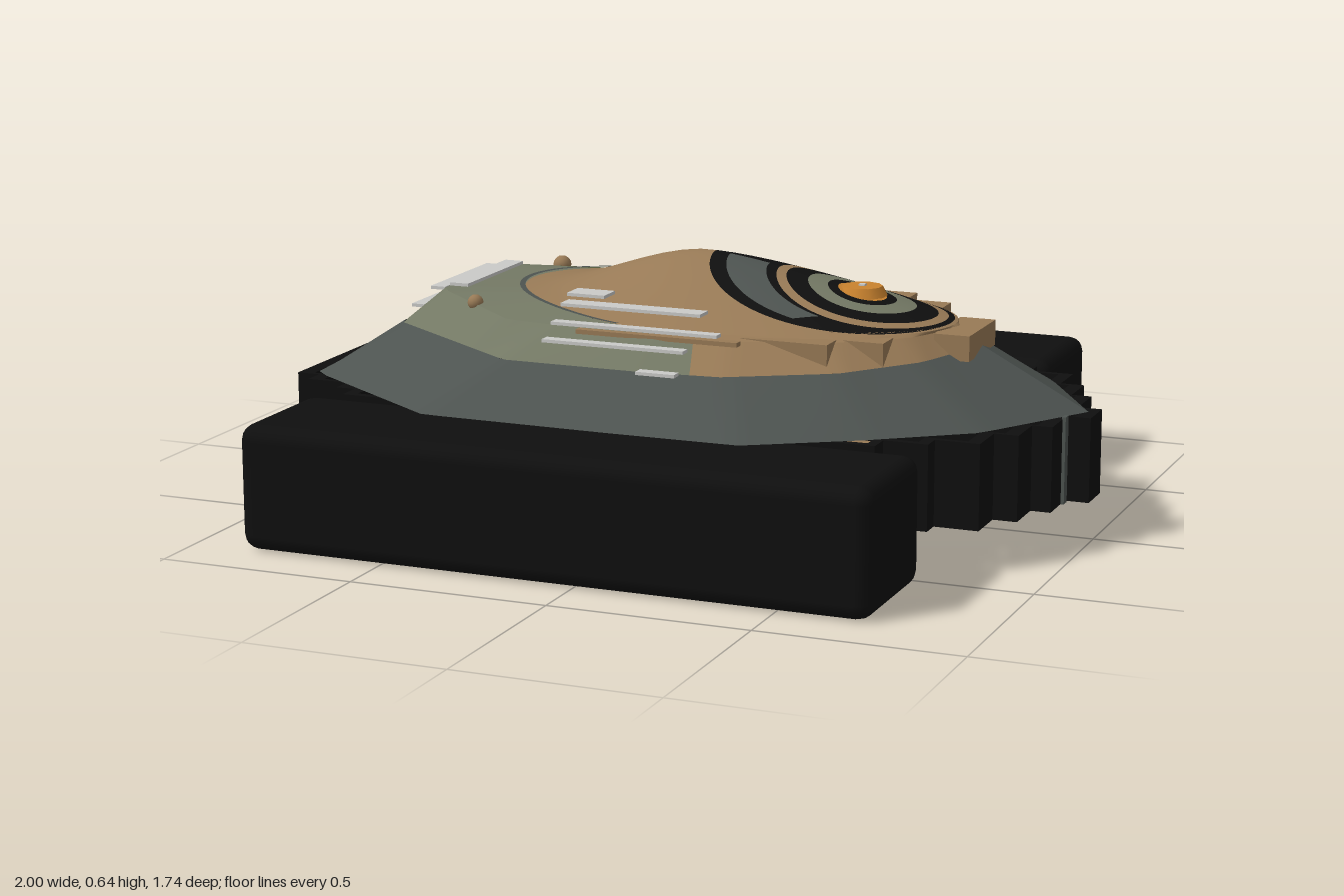
import * as THREE from 'three';
import { RoundedBoxGeometry } from 'three/addons/geometries/RoundedBoxGeometry.js';

const mat = (name, color) => {
  const m = new THREE.MeshStandardMaterial({ color, side: THREE.DoubleSide });
  m.name = name;
  return m;
};

const TAU = Math.PI * 2;

// Ring from half-outline points [x, y, z] (rear centre to front centre), sampled by ray angle.
const outlineRing = (pts) => (a) => {
  const c = Math.cos(a), s = Math.sin(a), az = Math.abs(s);
  for (let i = 0; i < pts.length - 1; i++) {
    const [x0, y0, z0] = pts[i], [x1, y1, z1] = pts[i + 1];
    const d0 = x0 * az - z0 * c, d1 = x1 * az - z1 * c;
    if (d0 <= 1e-9 && d1 >= -1e-9) {
      const t = d1 - d0 < 1e-9 ? 0 : THREE.MathUtils.clamp(-d0 / (d1 - d0), 0, 1);
      const z = z0 + (z1 - z0) * t;
      return new THREE.Vector3(x0 + (x1 - x0) * t, y0 + (y1 - y0) * t, s < 0 ? -z : z);
    }
  }
  const e = pts[pts.length - 1];
  return new THREE.Vector3(e[0], e[1], e[2]);
};

// Height of the turret dome, apex over the origin.
function domeHeight(x, z) {
  const t = Math.min(1, Math.hypot(x / (x < 0 ? 0.49 : 0.64), z / 0.335));
  const r = Math.hypot(x, z) || 1;
  const back = Math.max(0, -x / r) ** 2;
  const edge = 0.507 + 0.033 * back;
  const f = (1 - t ** 1.3) * (1 - back) + (0.5 + 0.5 * Math.cos(Math.PI * t)) * back;
  return edge + (0.645 - edge) * f;
}
const onDome = (x, z) => new THREE.Vector3(x, domeHeight(x, z), z);
const domeEdge = (a) => {
  const c = Math.cos(a), s = Math.sin(a);
  const r = 1 / Math.hypot(c / (c < 0 ? 0.49 : 0.64), s / 0.335);
  return onDome(c * r, s * r);
};
const ellipse = (cx, rx, rz) => (a) => onDome(cx + rx * Math.cos(a), rz * Math.sin(a));
const between = (ra, rb, t, lift) => (a) => {
  const p = ra(a).lerp(rb(a), t);
  return onDome(p.x, p.z).add(new THREE.Vector3(0, lift, 0));
};

// Surface strip between two rings; conform drapes it over the dome.
function loft(ra, rb, { a0 = 0, a1 = TAU, steps = 1, conform = false, lift = 0 } = {}) {
  const n = Math.max(8, Math.ceil(((a1 - a0) / TAU) * 120));
  const pos = [], idx = [];
  for (let j = 0; j <= steps; j++) {
    for (let i = 0; i <= n; i++) {
      const a = a0 + ((a1 - a0) * i) / n;
      const p = ra(a).lerp(rb(a), j / steps);
      pos.push(p.x, (conform ? domeHeight(p.x, p.z) : p.y) + lift, p.z);
      if (i < n && j < steps) {
        const k = j * (n + 1) + i, m = k + n + 1;
        idx.push(k, m, k + 1, k + 1, m, m + 1);
      }
    }
  }
  const g = new THREE.BufferGeometry();
  g.setAttribute('position', new THREE.Float32BufferAttribute(pos, 3));
  g.setIndex(idx);
  g.computeVertexNormals();
  return g;
}

export function createModel() {
  const black = mat('black', 0x0f0f0f), slate = mat('slate', 0x4d5350);
  const sage = mat('sage', 0x737864), olive = mat('olive', 0x575d3f);
  const brown = mat('brown', 0x987a56), orange = mat('orange', 0xc9822e);
  const pale = mat('paleGrey', 0xcacac8);

  const root = new THREE.Group();
  root.name = 'armouredVehicle';
  const add = (name, geo, m, x = 0, y = 0, z = 0) => {
    const mesh = new THREE.Mesh(geo, m);
    mesh.name = name;
    mesh.position.set(x, y, z);
    root.add(mesh);
    return mesh;
  };
  // Box given by its extents
  const block = (name, m, x0, x1, y0, y1, z0, z1) =>
    add(name, new THREE.BoxGeometry(x1 - x0, y1 - y0, z1 - z0), m,
      (x0 + x1) / 2, (y0 + y1) / 2, (z0 + z1) / 2);

  // Track pods
  for (const s of [1, -1]) {
    add('trackPod', new RoundedBoxGeometry(1.6, 0.31, 0.36, 2, 0.04), black, -0.07, 0.157, s * 0.69);
  }

  // Stepped skirt, open underneath
  const steps = [[-1, 0.33], [-0.94, 0.33], [-0.94, 0.385], [-0.83, 0.385], [-0.83, 0.44],
    [-0.78, 0.44], [-0.78, 0.5], [0.61, 0.5], [0.61, 0.44], [0.72, 0.44], [0.72, 0.39],
    [0.83, 0.39], [0.83, 0.33], [0.83, 0.28], [0.89, 0.28], [0.89, 0.17], [0.94, 0.17],
    [0.94, 0.05], [1, 0.05]];
  const plan = [...steps, ...steps.map(([x, z]) => [x, -z]).reverse()].map(([x, z]) => new THREE.Vector2(x, z));
  const skirt = new THREE.Shape(plan);
  skirt.holes.push(new THREE.Path(plan.map((p) => p.clone().multiplyScalar(0.96))));
  const skirtGeo = new THREE.ExtrudeGeometry(skirt, { depth: 0.21, bevelEnabled: false });
  skirtGeo.rotateX(Math.PI / 2);
  add('skirt', skirtGeo, black, 0, 0.315, 0);
  block('bowStrip', slate, 0.938, 0.948, 0.105, 0.32, 0.06, 0.085);

  // Hull shell rings, from the eaves up to the deck rim
  const eaves = outlineRing([[-0.95, 0.318, 0], [-0.95, 0.318, 0.32], [-0.5, 0.318, 0.625],
    [0, 0.318, 0.63], [0.32, 0.318, 0.625], [0.57, 0.318, 0.47], [0.8, 0.318, 0.3], [0.98, 0.318, 0]]);
  const belt = outlineRing([[-0.76, 0.445, 0], [-0.76, 0.445, 0.22], [-0.36, 0.43, 0.46],
    [0, 0.43, 0.46], [0.2, 0.43, 0.44], [0.46, 0.44, 0.34], [0.62, 0.45, 0.19], [0.71, 0.46, 0]]);
  const rim = outlineRing([[-0.67, 0.53, 0], [-0.66, 0.53, 0.18], [-0.4, 0.505, 0.35],
    [0, 0.5, 0.38], [0.2, 0.5, 0.36], [0.43, 0.5, 0.28], [0.58, 0.5, 0.16], [0.655, 0.5, 0]]);
  add('hullSlope', loft(eaves, belt), slate);
  for (const [name, m, a0, a1] of [['front', brown, -1.3, 1.3], ['left', sage, 1.3, 3.57], ['right', olive, 3.57, TAU - 1.3]]) {
    add(name + 'UpperSlope', loft(belt, rim, { a0, a1 }), m);
    add(name + 'Deck', loft(rim, domeEdge, { a0, a1 }), m);
  }

  // Turret dome and its dark rear edge
  const patch = ellipse(0.32, 0.31, 0.245);
  const collar = ellipse(0.4, 0.215, 0.19);
  add('dome', loft(domeEdge, patch, { steps: 10, conform: true }), brown);
  add('domeEdgeLine', loft((a) => domeEdge(a).multiply(new THREE.Vector3(1.03, 1, 1.03)), domeEdge,
    { a0: 1.9, a1: TAU - 1.9, lift: 0.004 }), slate);

  // Painted dark oval with concentric bands
  add('darkOval', loft(patch, collar, { steps: 5, conform: true }), black);
  add('darkOvalCrescent', loft(between(patch, collar, 0.25, 0.003), between(patch, collar, 0.85, 0.003),
    { a0: 1.7, a1: 3.1, steps: 3, conform: true, lift: 0.003 }), slate);
  const bands = [[0.215, 0.19, brown], [0.19, 0.165, black], [0.135, 0.125, sage],
    [0.085, 0.085, black], [0.06, 0.06, orange], [0, 0]];
  for (let i = 0; i < bands.length - 1; i++) {
    const [rx, rz, m] = bands[i], [qx, qz] = bands[i + 1];
    add('hatchBand', loft(ellipse(0.4, rx, rz), ellipse(0.4, qx, qz), { steps: 2, conform: true }), m);
  }
  add('hatchCap', new THREE.CylinderGeometry(0.05, 0.062, 0.024, 10), orange, 0.4, 0.573, 0);
  block('hatchStud', pale, 0.392, 0.408, 0.584, 0.589, -0.008, 0.008);

  // Stepped brackets around the dome front
  block('frontBracket', brown, 0.62, 0.71, 0.44, 0.503, -0.105, 0.105);
  for (const s of [1, -1]) {
    const side = (name, m, x0, x1, y0, y1, z0, z1) =>
      block(name, m, x0, x1, y0, y1, Math.min(s * z0, s * z1), Math.max(s * z0, s * z1));
    side('sideBracket', brown, 0.21, 0.43, 0.45, 0.505, 0.27, 0.335);
    side('cornerBracket', brown, 0.43, 0.545, 0.44, 0.503, 0.18, 0.26);
    side('rail', brown, -0.2, 0.22, 0.492, 0.503, 0.36, 0.385);

    // Pale deck slats
    for (const [x0, x1, z0, z1, y] of [[-0.27, 0.1, 0.27, 0.32, 0.55], [-0.27, 0.165, 0.347, 0.377, 0.515],
      [-0.27, 0.1, 0.4, 0.43, 0.482], [0, 0.1, 0.455, 0.485, 0.436]]) {
      side('deckSlat', pale, x0, x1, y - 0.008, y, z0, z1);
    }

    // Lower inner side plates
    side('lowerPlateFront', brown, -0.15, 0.55, 0.045, 0.105, 0.28, 0.33);
    side('lowerPlateMiddle', sage, -0.4, -0.15, 0.045, 0.105, 0.33, 0.4);
    side('lowerPlateRear', slate, -0.6, -0.4, 0.045, 0.105, 0.33, 0.48);
  }
  block('deckSlatEnd', pale, -0.27, -0.17, 0.56, 0.568, 0.215, 0.28);

  // Rear slats and small deck studs
  for (const [x0, x1, y] of [[-0.76, -0.725, 0.48], [-0.705, -0.665, 0.53], [-0.65, -0.6, 0.543]]) {
    block('rearSlat', pale, x0, x1, y - 0.008, y, -0.165, 0.16);
  }
  add('deckStud', new THREE.SphereGeometry(0.024, 12, 8), brown, -0.535, 0.52, -0.27);
  add('deckStud', new THREE.SphereGeometry(0.02, 12, 8), brown, -0.53, 0.52, 0.26);

  return root;
}
